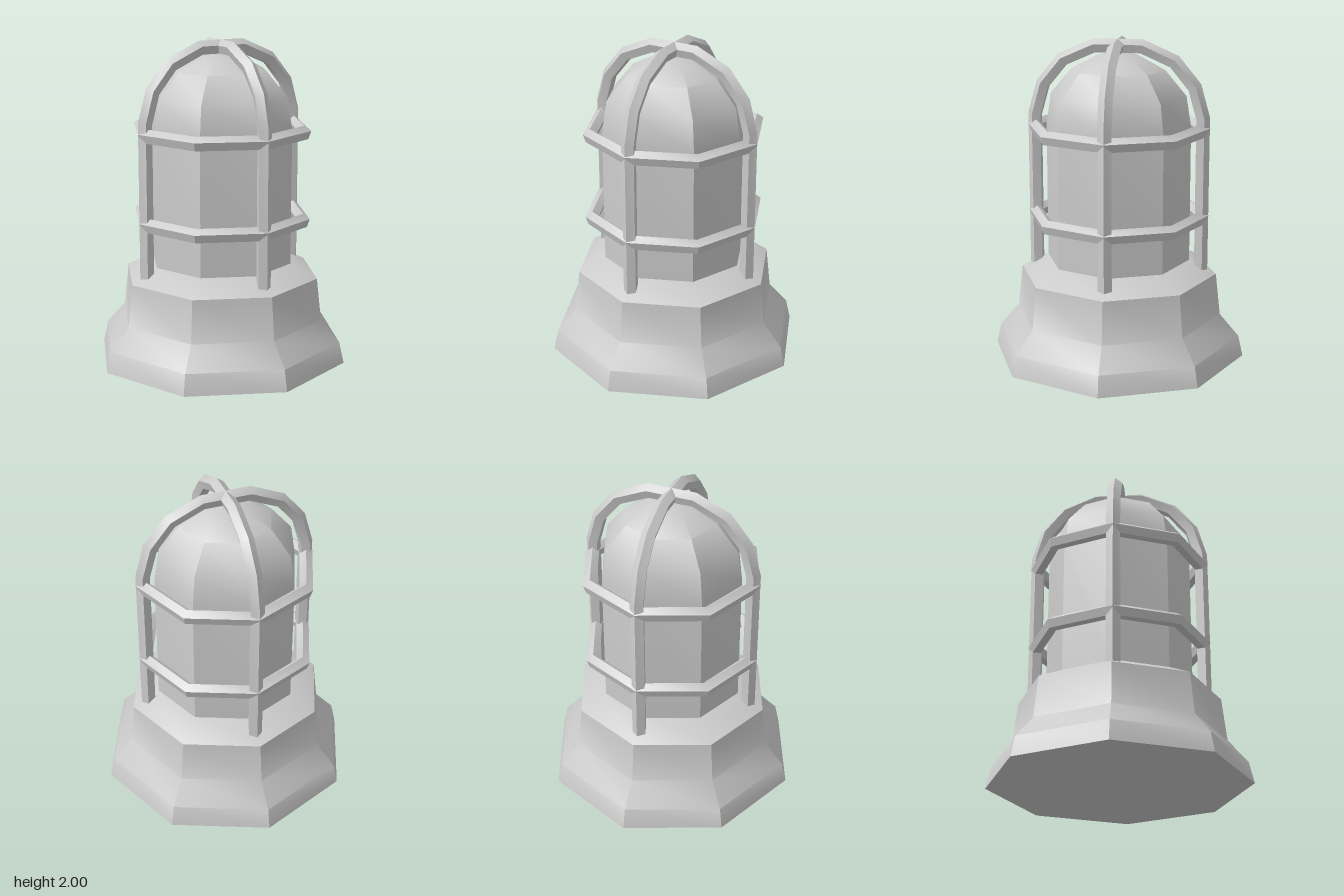
import * as THREE from 'three';
import { toCreasedNormals } from 'three/addons/utils/BufferGeometryUtils.js';

const SIDES = 8;        // octagonal body
const BAR = 0.045;      // radius of the five-sided cage bars
const CREASE = THREE.MathUtils.degToRad(35);
const material = new THREE.MeshStandardMaterial({ color: 0xcccccc });

function part(name, geometry) {
  const mesh = new THREE.Mesh(toCreasedNormals(geometry, CREASE), material);
  mesh.name = name;
  return mesh;
}

// Octagonal solid of revolution from [radius, height] pairs
function turned(name, profile) {
  const points = profile.map(([r, y]) => new THREE.Vector2(r, y));
  return part(name, new THREE.LatheGeometry(points, SIDES));
}

// Five-sided bar swept along a path in the XY plane, mitred at each bend, ridge outward
function sweptBar(path) {
  const positions = [], index = [], n = 5;
  path.forEach((p, i) => {
    const before = p.clone().sub(path[Math.max(i - 1, 0)]).normalize();
    const after = path[Math.min(i + 1, path.length - 1)].clone().sub(p).normalize();
    const tangent = before.clone().add(after).normalize();
    const mitre = 1 / Math.max(tangent.dot(before), tangent.dot(after));
    for (let k = 0; k < n; k++) {
      const a = (k / n) * Math.PI * 2;
      const out = BAR * Math.cos(a) * mitre;
      positions.push(p.x + tangent.y * out, p.y - tangent.x * out, BAR * Math.sin(a));
    }
  });
  const last = (path.length - 1) * n;
  for (let i = 0; i < last; i += n) {
    for (let k = 0; k < n; k++) {
      const a = i + k, b = i + (k + 1) % n;
      index.push(a, a + n, b + n, a, b + n, b);
    }
  }
  // End caps
  for (let k = 1; k < n - 1; k++) {
    index.push(0, k, k + 1, last, last + k + 1, last + k);
  }
  const geometry = new THREE.BufferGeometry();
  geometry.setAttribute('position', new THREE.Float32BufferAttribute(positions, 3));
  geometry.setIndex(index);
  return geometry;
}

export function createModel() {
  const model = new THREE.Group();
  model.name = 'cagedLamp';

  // Flared base with sloping shoulder
  model.add(turned('base', [
    [0, 0], [0.8, 0], [0.77, 0.13], [0.65, 0.27], [0.62, 0.535], [0.45, 0.62], [0, 0.62],
  ]));

  // Glass cover with domed top
  model.add(turned('glassCover', [
    [0.45, 0.6], [0.45, 1.47], [0.42, 1.66], [0.29, 1.815], [0.13, 1.9], [0, 1.9],
  ]));

  const cage = new THREE.Group();
  cage.name = 'cage';
  model.add(cage);

  // Horizontal cage rings, pentagon section with the ridge on top
  [['lowerRing', 0.9], ['upperRing', 1.45]].forEach(([name, y]) => {
    const section = [];
    for (let k = 0; k <= 5; k++) {
      const a = Math.PI / 2 + (k / 5) * Math.PI * 2;
      section.push([0.525 + BAR * Math.cos(a), y + BAR * Math.sin(a)]);
    }
    cage.add(turned(name, section));
  });

  // Two crossing arches, each standing on opposite sides of the base
  const half = [[0.52, 0.56], [0.52, 1.525], [0.467, 1.715], [0.343, 1.867], [0.145, 1.955]];
  const path = [...half, ...half.map(([x, y]) => [-x, y]).reverse()]
    .map(([x, y]) => new THREE.Vector2(x, y));
  ['sideArch', 'frontBackArch'].forEach((name, i) => {
    const arch = part(name, sweptBar(path));
    arch.rotation.y = i * Math.PI / 2;
    cage.add(arch);
  });

  return model;
}
